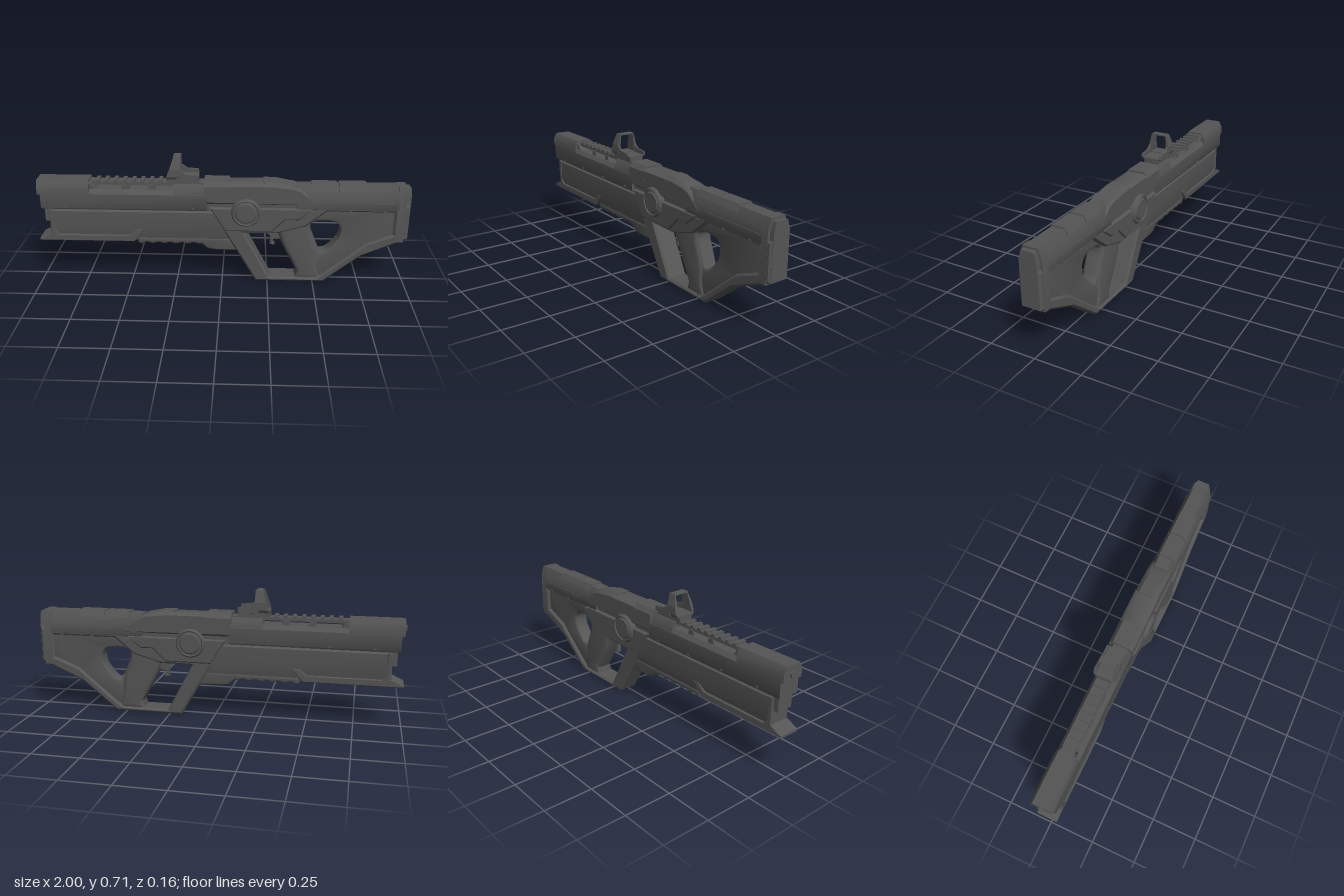
import * as THREE from 'three';
import { toCreasedNormals } from 'three/addons/utils/BufferGeometryUtils.js';

export function createModel() {
  const model = new THREE.Group();
  model.name = 'bullpupRifle';
  const gunmetal = new THREE.MeshStandardMaterial({ color: 0x555555 });
  gunmetal.name = 'gunmetal';

  function add(name, geometry) {
    const mesh = new THREE.Mesh(toCreasedNormals(geometry, 0.6), gunmetal);
    mesh.name = name;
    model.add(mesh);
    return mesh;
  }
  const toShape = (pts) => new THREE.Shape(pts.map(([x, y]) => new THREE.Vector2(x, y)));
  const smoothPath = (pts) => new THREE.Path(new THREE.CatmullRomCurve3(
    pts.map(([x, y]) => new THREE.Vector3(x, y, 0)), true, 'catmullrom', 0.35)
    .getPoints(27).slice(0, -1).map((p) => new THREE.Vector2(p.x, p.y)));

  // Side profile (x, y) thickened evenly about z = 0, with bevelled rims
  function plate(name, pts, half, bevel, holes = [], segments = 1) {
    const shape = toShape(pts);
    shape.holes.push(...holes);
    const g = new THREE.ExtrudeGeometry(shape, {
      depth: 2 * (half - bevel), bevelEnabled: bevel > 0, bevelThickness: bevel,
      bevelSize: bevel, bevelOffset: -bevel, bevelSegments: segments,
    });
    return add(name, g.translate(0, 0, -(half - bevel)));
  }

  // Cross-section (z, y) run along x
  function run(name, x0, x1, shape) {
    const g = new THREE.ExtrudeGeometry(shape, { depth: x1 - x0, bevelEnabled: false });
    return add(name, g.rotateY(Math.PI / 2).translate(x0, 0, 0));
  }
  // Symmetric beam: right-hand outline [halfWidth, y] from bottom to top
  const beam = (name, x0, x1, side) =>
    run(name, x0, x1, toShape([...side, ...side.slice().reverse().map(([w, y]) => [-w, y])]));

  const box = (name, x0, x1, y0, y1, half, z = 0) =>
    add(name, new THREE.BoxGeometry(x1 - x0, y1 - y0, half * 2)
      .translate((x0 + x1) / 2, (y0 + y1) / 2, z));

  // Recessed core that forms the dark grooves between the shells
  box('core', -0.96, 0.47, 0.34, 0.51, 0.046);

  // Handguard
  beam('upperHandguard', -0.975, -0.08, [[0.055, 0.415], [0.061, 0.425], [0.061, 0.505], [0.045, 0.528]]);
  beam('muzzleShroud', -0.99, -0.71, [[0.061, 0.5], [0.061, 0.545], [0.043, 0.577]]);
  beam('lowerHandguard', -0.93, 0.055, [[0.04, 0.232], [0.055, 0.3], [0.055, 0.402], [0.046, 0.41]]);
  plate('handguardSkirt', [[-1, 0.228], [-0.48, 0.228], [-0.42, 0.3], [-0.46, 0.3], [-0.5, 0.265],
    [-0.89, 0.265], [-0.91, 0.29], [-0.91, 0.41], [-0.935, 0.41], [-0.935, 0.27], [-1, 0.24]], 0.058, 0.004);
  add('muzzle', new THREE.CylinderGeometry(0.019, 0.019, 0.06, 16).rotateZ(Math.PI / 2).translate(-0.97, 0.53, 0));

  // Top rail on open struts
  box('railBed', -0.71, -0.09, 0.55, 0.566, 0.034);
  plate('railFrontStrut', [[-0.72, 0.51], [-0.67, 0.52], [-0.69, 0.556], [-0.72, 0.57]], 0.045, 0.004);
  for (const x of [-0.52, -0.38]) {
    plate('railStrut', [[x - 0.02, 0.52], [x + 0.025, 0.52], [x + 0.015, 0.555], [x - 0.012, 0.555]], 0.04, 0);
  }
  beam('railRearMount', -0.26, -0.08, [[0.06, 0.5], [0.058, 0.525], [0.04, 0.56]]);
  for (let i = 0; i < 12; i++) box('railTooth', -0.675 + i * 0.048, -0.655 + i * 0.048, 0.56, 0.577, 0.034);

  // Foregrip with finger ripples
  const ripples = [];
  for (let i = 0; i <= 24; i++) ripples.push([-0.43 + i * 0.0133, 0.215 + 0.004 * Math.sin(i * 1.3)]);
  plate('foregrip', [[-0.46, 0.25], [-0.46, 0.215], [-0.44, 0.207], ...ripples, [-0.08, 0.186],
    [-0.04, 0.179], [0.085, 0.178], [0.06, 0.25]], 0.046, 0.012, [], 3);

  // Receiver
  plate('upperReceiver', [[-0.095, 0.455], [0.52, 0.455], [0.42, 0.545], [0.38, 0.558], [0.28, 0.57],
    [-0.095, 0.57]], 0.062, 0.012);
  beam('receiverCollar', -0.095, 0.04, [[0.066, 0.5], [0.066, 0.555], [0.046, 0.582]]);
  beam('receiverCover', 0.04, 0.23, [[0.065, 0.52], [0.065, 0.56], [0.046, 0.572]]);
  plate('receiverHump', [[0.22, 0.5], [0.22, 0.58], [0.28, 0.58], [0.38, 0.56], [0.43, 0.5]], 0.05, 0.01);
  plate('lowerReceiver', [[-0.065, 0.435], [0.015, 0.3], [0.27, 0.3], [0.34, 0.37], [0.41, 0.37],
    [0.49, 0.435]], 0.066, 0.008);

  // Round side hubs
  const hub = [[0, -0.081], [0.052, -0.081], [0.058, -0.074], [0.066, -0.074], [0.07, -0.08], [0.075, -0.077],
    [0.08, -0.068], [0.08, 0.068], [0.075, 0.077], [0.07, 0.08], [0.066, 0.074], [0.058, 0.074],
    [0.052, 0.081], [0, 0.081]].map(([r, y]) => new THREE.Vector2(r, y));
  add('sideHub', new THREE.LatheGeometry(hub, 16).rotateX(Math.PI / 2).translate(0.128, 0.412, 0));

  // Frame: front guard, floor, lower stock edge and butt in one loop
  const opening = new THREE.Path([[0.12, 0.288], [0.26, 0.024], [0.52, 0.024], [0.56, 0.05], [0.78, 0.235],
    [0.92, 0.29], [0.92, 0.42], [0.56, 0.42], [0.45, 0.33], [0.3, 0.288]].map(([x, y]) => new THREE.Vector2(x, y)));
  plate('guardAndStockFrame', [[-0.065, 0.43], [0.08, 0.18], [0.185, 0], [0.56, 0], [0.757, 0.16],
    [0.997, 0.265], [0.997, 0.46], [0.53, 0.46], [0.5, 0.43]], 0.059, 0.01, [opening]);

  // Recessed stock panel with thumb opening
  const thumbHole = smoothPath([[0.48, 0.34], [0.515, 0.36], [0.61, 0.355], [0.64, 0.315], [0.63, 0.255],
    [0.575, 0.187], [0.532, 0.175], [0.512, 0.22], [0.48, 0.3]]);
  plate('stockPanel', [[0.4, 0.015], [0.56, 0.015], [0.78, 0.2], [0.94, 0.27], [0.94, 0.44], [0.4, 0.44],
    [0.31, 0.33], [0.33, 0.24], [0.36, 0.16], [0.41, 0.06]], 0.042, 0.012, [thumbHole], 3);
  plate('pistolGrip', [[0.295, 0.34], [0.305, 0.285], [0.32, 0.235], [0.345, 0.18], [0.38, 0.115], [0.41, 0.06],
    [0.4, 0.015], [0.545, 0.015], [0.525, 0.09], [0.525, 0.16], [0.51, 0.22], [0.478, 0.295], [0.475, 0.35]],
  0.052, 0.026, [], 4);

  // Upper stock and butt
  beam('upperStock', 0.4, 0.94, [[0.055, 0.425], [0.06, 0.435], [0.06, 0.5], [0.035, 0.558]]);
  beam('buttPad', 0.93, 0.975, [[0.06, 0.25], [0.06, 0.5], [0.04, 0.56]]);
  beam('buttPlate', 0.975, 0.999, [[0.047, 0.267], [0.047, 0.5], [0.033, 0.548]]);
  for (const [a, b] of [[0.475, 0.61], [0.62, 0.765]]) {
    beam('cheekPlate', a, b, [[0.054, 0.533], [0.036, 0.566]]);
  }
  // Side trim strips on the stock and handguard
  for (const s of [-1, 1]) {
    box('stockTrim', 0.56, 0.93, 0.47, 0.478, 0.003, s * 0.061);
    for (const x of [-0.85, -0.62, -0.39, -0.16, 0.68, 0.86]) {
      box('sidePin', x, x + 0.012, 0.425, 0.433, 0.003, s * 0.062);
    }
  }

  // Trigger
  plate('trigger', [[0.24, 0.31], [0.24, 0.275], [0.262, 0.255], [0.262, 0.205], [0.285, 0.2], [0.288, 0.21],
    [0.275, 0.222], [0.282, 0.235], [0.315, 0.24], [0.315, 0.31]], 0.014, 0.003);

  // Reflex sight: base, raked open hood and low side wings
  beam('sightBase', -0.295, -0.125, [[0.04, 0.566], [0.04, 0.588], [0.05, 0.598]]);
  const hoodShape = toShape([[-0.05, 0.59], [0.05, 0.59], [0.059, 0.605], [0.059, 0.645], [0.043, 0.706], [-0.043, 0.706],
    [-0.059, 0.645], [-0.059, 0.605]]);
  hoodShape.holes.push(new THREE.Path([[-0.046, 0.602], [-0.038, 0.7], [0.038, 0.7], [0.046, 0.602]]
    .map(([x, y]) => new THREE.Vector2(x, y))));
  const hood = run('sightHood', -0.295, -0.22, hoodShape);
  const p = hood.geometry.attributes.position;
  for (let i = 0; i < p.count; i++) {
    if (p.getX(i) < -0.25) p.setX(i, p.getX(i) + (p.getY(i) - 0.59) * 0.32);
  }
  hood.geometry = toCreasedNormals(hood.geometry, 0.6);
  hood.geometry.computeVertexNormals();
  for (const s of [-1, 1]) {
    plate('sightWing', [[-0.24, 0.588], [-0.135, 0.588], [-0.125, 0.6], [-0.13, 0.617], [-0.19, 0.622],
      [-0.215, 0.64], [-0.24, 0.65]], 0.005, 0.001).position.z = s * 0.053;
  }
  return model;
}
